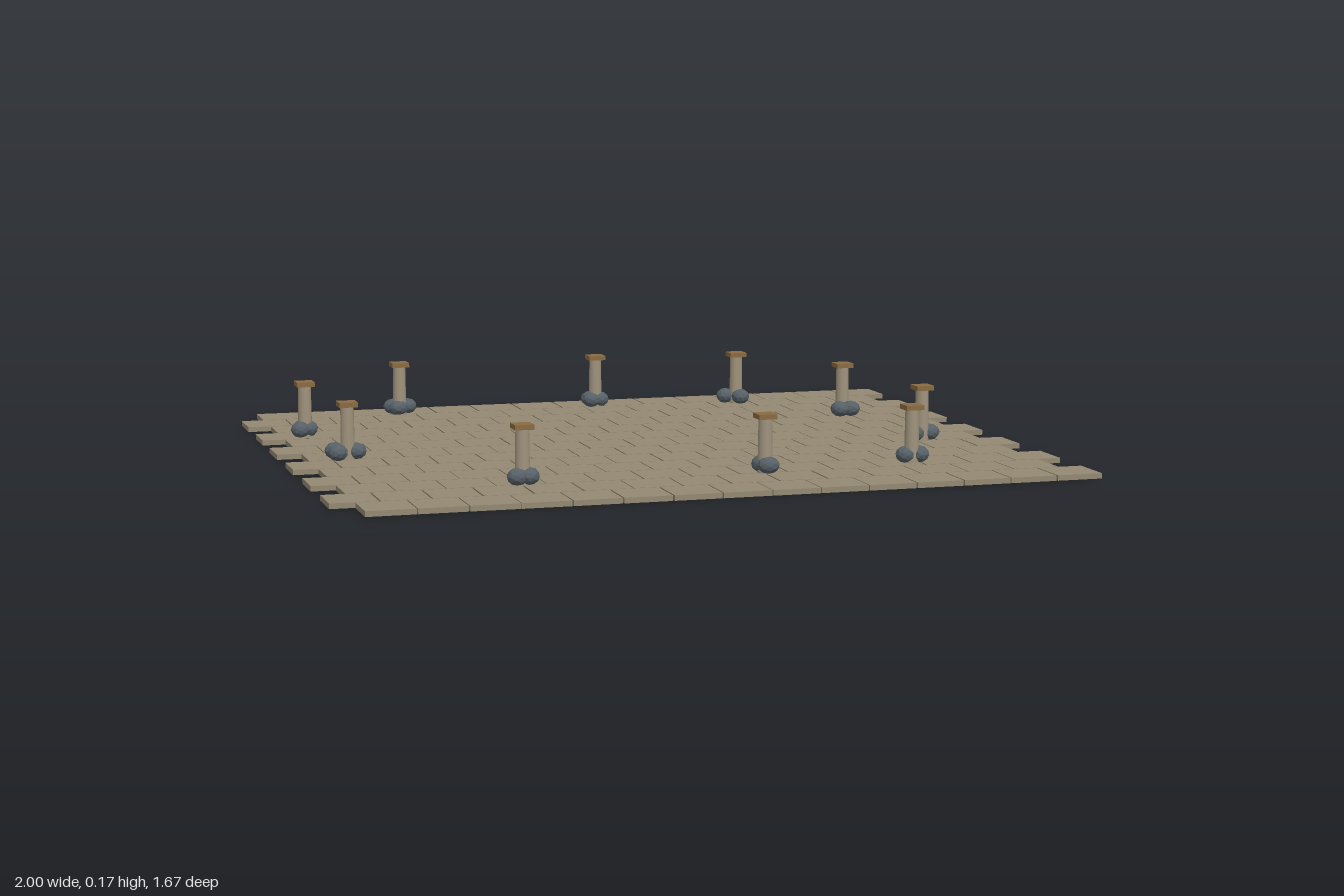
import * as THREE from 'three';

const mat = (color, flatShading = false) => new THREE.MeshStandardMaterial({ color, flatShading });

// Small seeded generator for the hand-laid irregularity
function seeded(seed) {
  return () => (seed = (seed * 16807) % 2147483647) / 2147483647;
}

// Post position [x, z] followed by the offsets of the rocks at its foot
const POSTS = [
  [-0.53, -0.71, [[-0.015, -0.022], [0.028, -0.02], [-0.005, 0.008]]],
  [0.07, -0.71, [[-0.01, -0.02], [-0.014, 0.008], [0.012, 0.002]]],
  [0.5, -0.66, [[-0.03, -0.014], [0.008, 0.02], [0.01, -0.004]]],
  [-0.87, -0.37, [[-0.005, -0.016], [-0.016, 0.016], [0.01, 0]]],
  [0.72, -0.33, [[-0.016, 0.025], [0.018, 0.024], [0, -0.004]]],
  [-0.83, 0.06, [[-0.032, -0.02], [-0.03, 0.02], [0.022, 0]]],
  [0.76, 0.19, [[-0.02, 0.004], [0.026, -0.006]]],
  [-0.48, 0.575, [[0.008, -0.026], [-0.015, 0.01], [0.016, 0.008]]],
  [0.165, 0.58, [[-0.005, -0.012], [0.004, 0.016]]],
  [0.59, 0.535, [[-0.016, -0.002], [0.022, 0]]],
];

export function createModel() {
  const model = new THREE.Group();
  const rand = seeded(41);
  const tileMat = mat(0x938872);
  const postMat = mat(0xa0937d);
  const capMat = mat(0x8a6b42);
  const rockMat = mat(0x566067, true);

  // Paved floor: 13 staggered rows of 15 slabs
  const rows = 13, cols = 15, pitch = 0.129, thick = 0.014;
  const floor = new THREE.Group();
  floor.name = 'pavedFloor';
  for (let r = 0; r < rows; r++) {
    const shift = r % 2 === 0 ? 0.0325 : -0.0325;
    for (let c = 0; c < cols; c++) {
      const w = 0.1275 - rand() * 0.004;
      const slab = new THREE.Mesh(new THREE.BoxGeometry(w, thick, 0.1245), tileMat);
      slab.name = 'pavingSlab';
      slab.position.set((c - (cols - 1) / 2) * pitch + shift, thick / 2, (r - (rows - 1) / 2) * pitch);
      floor.add(slab);
    }
  }
  model.add(floor);

  // Shared post and rock shapes
  const postGeo = new THREE.CylinderGeometry(0.018, 0.02, 0.144, 12);
  const capGeo = new THREE.BoxGeometry(0.05, 0.013, 0.05);
  const rockGeo = new THREE.IcosahedronGeometry(1, 1);

  // Ring of capped posts with rocks piled around each foot
  for (const [x, z, rocks] of POSTS) {
    const post = new THREE.Group();
    post.name = 'post';
    post.position.set(x, 0, z);

    const shaft = new THREE.Mesh(postGeo, postMat);
    shaft.name = 'postShaft';
    shaft.position.y = 0.012 + 0.072;
    const cap = new THREE.Mesh(capGeo, capMat);
    cap.name = 'postCap';
    cap.position.y = 0.1625;
    post.add(shaft, cap);

    for (const [dx, dz] of rocks) {
      const rock = new THREE.Mesh(rockGeo, rockMat);
      rock.name = 'rock';
      rock.scale.set(0.027 + rand() * 0.003, 0.023, 0.025 + rand() * 0.002);
      rock.rotation.y = rand() * Math.PI;
      rock.position.set(dx, 0.036, dz);
      post.add(rock);
    }
    model.add(post);
  }
  return model;
}
